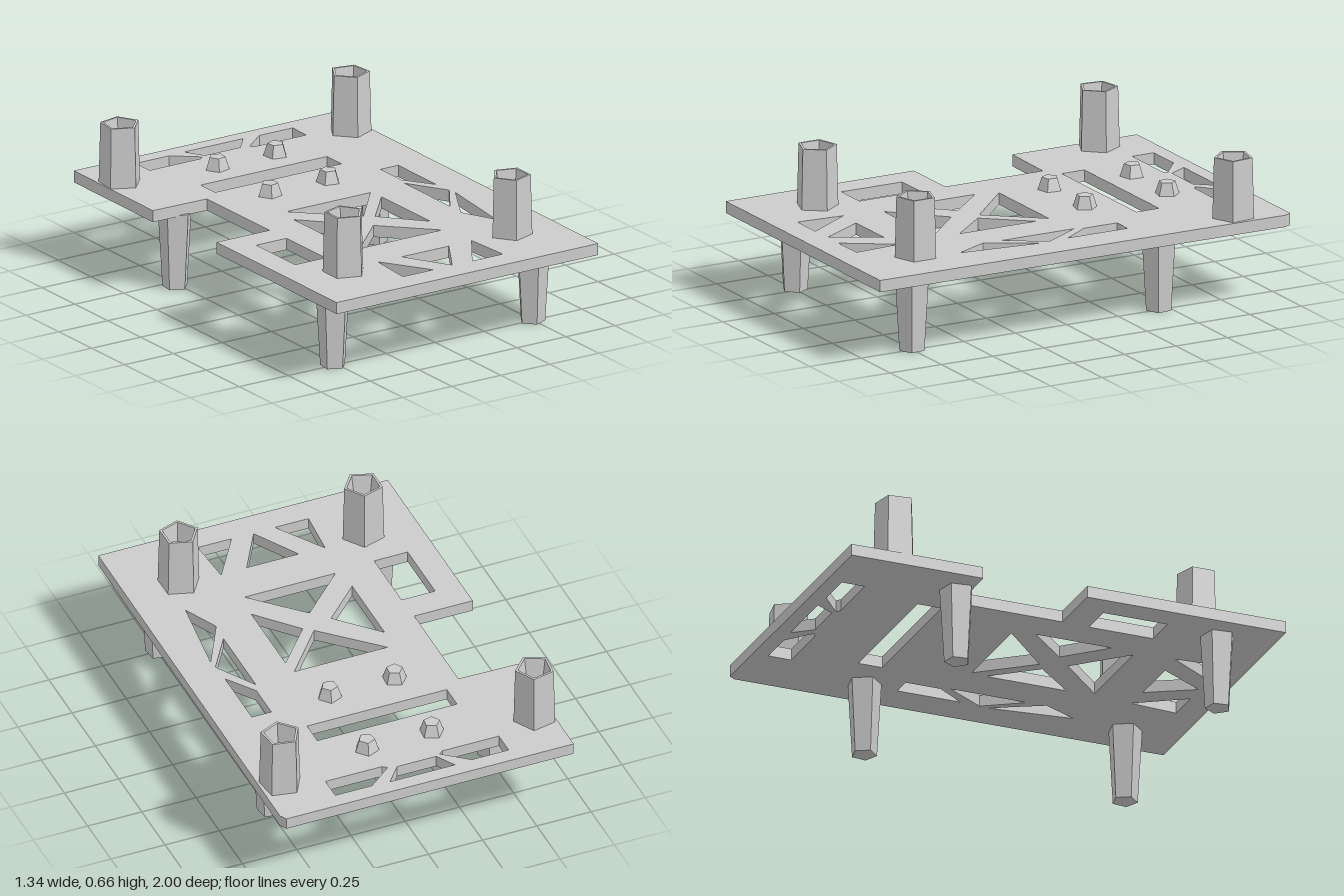
import * as THREE from 'three';

const PLATE_Y = 0.335, PLATE_T = 0.052, TOP = PLATE_Y + PLATE_T;

export function createModel() {
  const model = new THREE.Group();
  const material = new THREE.MeshStandardMaterial({
    color: 0xcccccc, flatShading: true, side: THREE.DoubleSide,
  });
  const add = (name, geometry, x = 0, y = 0, z = 0) => {
    const mesh = new THREE.Mesh(geometry, material);
    mesh.name = name;
    mesh.position.set(x, y, z);
    model.add(mesh);
    return mesh;
  };

  // Points are given as [x, z]; the shape is later laid flat.
  const toPoints = (list) => list.map(([x, z]) => new THREE.Vector2(x, -z));
  const rect = (x0, z0, x1, z1) => [[x0, z0], [x1, z0], [x1, z1], [x0, z1]];
  const mirror = (list) => list.map(([x, z]) => [-x, z]);

  // Plate outline, notched on one side
  const plate = new THREE.Shape(toPoints([
    [-0.67, -1], [0.655, -1], [0.672, -0.97], [0.665, 1], [-0.67, 1],
    [-0.67, 0.085], [-0.4, 0.085], [-0.4, -0.39], [-0.672, -0.395],
  ]));

  const frontSide = [[-0.24, 0.67], [-0.255, 0.885], [-0.1, 0.885]];
  const backSide = [[-0.4, -0.93], [-0.23, -0.93], [-0.12, -0.84], [-0.14, -0.825], [-0.4, -0.825]];
  const holes = [
    // back slot with angled struts
    backSide, mirror(backSide),
    [[-0.15, -0.935], [0.15, -0.935], [0.08, -0.85], [-0.1, -0.85]],
    // long slot
    rect(-0.325, -0.55, 0.32, -0.44),
    // cross-braced centre opening
    [[-0.21, -0.07], [0.22, -0.07], [0.03, 0.16]],
    [[-0.21, 0.49], [0.21, 0.49], [0, 0.28]],
    [[-0.24, 0.03], [-0.24, 0.38], [-0.07, 0.21]],
    [[0.23, 0.0], [0.23, 0.37], [0.07, 0.19]],
    // side window
    rect(-0.55, 0.21, -0.395, 0.505),
    // zigzag truss on the other side
    [[0.42, -0.29], [0.51, -0.29], [0.51, 0.0], [0.42, -0.13]],
    [[0.405, -0.09], [0.515, 0.09], [0.405, 0.26]],
    [[0.52, 0.13], [0.475, 0.505], [0.4, 0.35]],
    // front truss
    frontSide, mirror(frontSide),
    [[-0.12, 0.675], [0.12, 0.675], [0, 0.88]],
  ];
  holes.forEach((h) => plate.holes.push(new THREE.Path(toPoints(h))));
  const slab = new THREE.ExtrudeGeometry(plate, { depth: PLATE_T, bevelEnabled: false });
  slab.rotateX(-Math.PI / 2);
  add('plate', slab, 0, PLATE_Y, 0);

  // Hollow upper posts
  const postProfile = [[0.093, 0], [0.086, 0.268], [0.074, 0.268], [0.04, 0.06], [0, 0.06]]
    .map(([r, y]) => new THREE.Vector2(r, y));
  for (const [name, x, z, turn] of [
    ['frontRightPost', -0.425, 0.695, 0.3], ['frontLeftPost', 0.425, 0.69, -0.3],
    ['backRightPost', -0.59, -0.765, 0.2], ['backLeftPost', 0.58, -0.765, -0.2],
  ]) {
    add(name, new THREE.LatheGeometry(postProfile, 5), x, TOP, z).rotation.y = turn;
  }

  // Tapered legs
  for (const [name, x, z, turn] of [
    ['frontRightLeg', -0.52, 0.75, 0.2], ['frontLeftLeg', 0.495, 0.75, -0.2],
    ['backRightLeg', -0.52, -0.45, 0.2], ['backLeftLeg', 0.495, -0.45, -0.2],
  ]) {
    const leg = new THREE.CylinderGeometry(0.076, 0.056, PLATE_Y + 0.005, 5);
    add(name, leg, x, (PLATE_Y + 0.005) / 2, z).rotation.y = turn;
  }

  // Small pegs
  for (const x of [-0.15, 0.15]) {
    for (const z of [-0.685, -0.285]) {
      add('peg', new THREE.CylinderGeometry(0.036, 0.054, 0.056, 5), x, TOP + 0.027, z)
        .rotation.y = x > 0 ? 0.4 : -0.4;
    }
  }
  return model;
}
